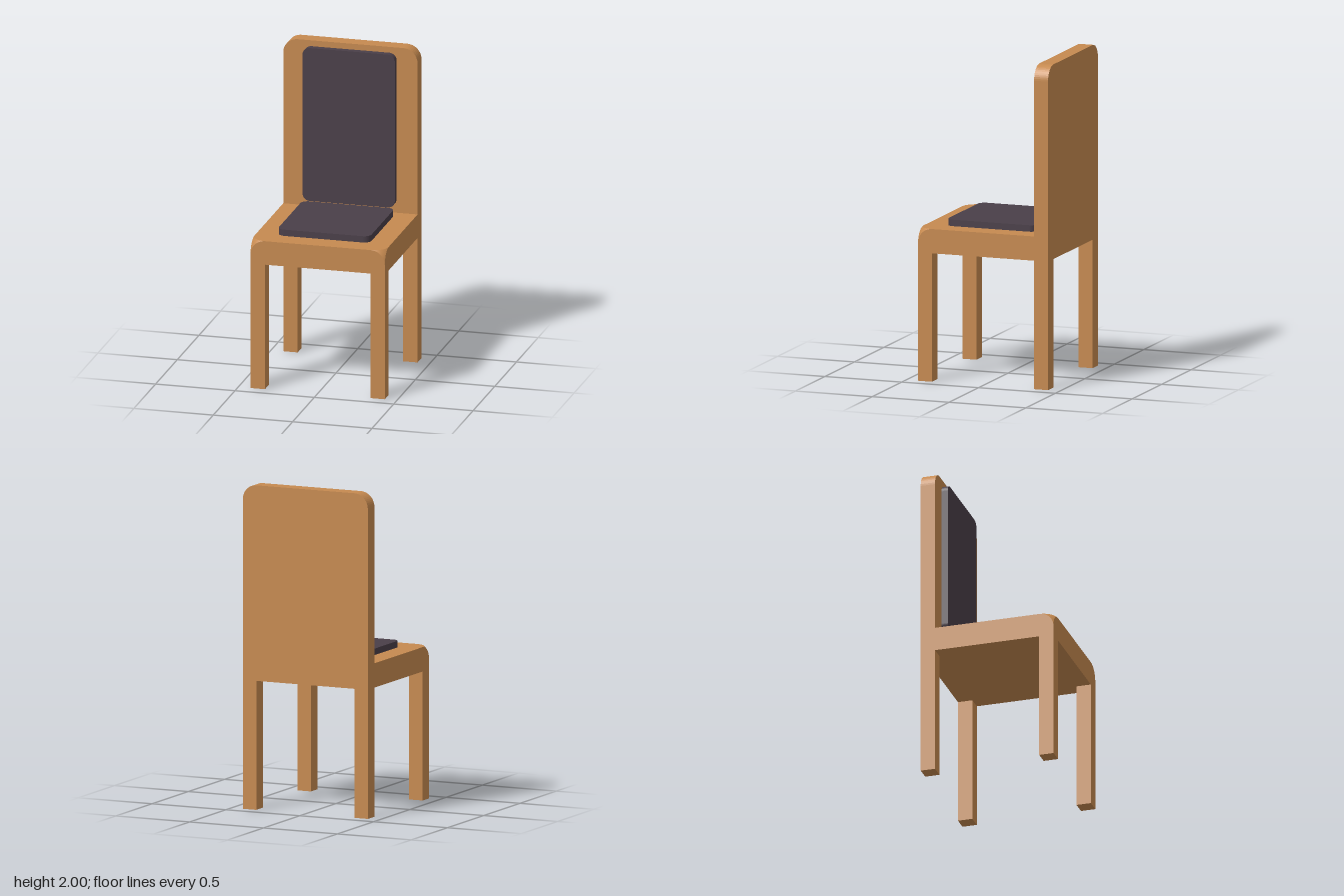
import * as THREE from 'three';
import { mergeGeometries } from 'three/addons/utils/BufferGeometryUtils.js';
import { ParametricGeometry } from 'three/addons/geometries/ParametricGeometry.js';

const HALF = 0.423;            // half width and depth of the chair
const INNER = 0.332;           // inner side of legs and front of the backrest
const R = HALF - INNER;        // leg thickness and large corner radius
const SEAT_Y = 0.795, SEAT_TOP = 0.945;
const SEG = 6;

// Rectangle with its own radius per corner: bottom left, bottom right, top right, top left
function roundedRect(x0, y0, x1, y1, [bl, br, tr, tl]) {
  const s = new THREE.Shape();
  const q = Math.PI / 2;
  const corner = (x, y, r, start) => r ? s.absarc(x, y, r, start, start + q, false) : s.lineTo(x, y);
  s.moveTo(x0 + bl, y0);
  corner(x1 - br, y0 + br, br, -q);
  corner(x1 - tr, y1 - tr, tr, 0);
  corner(x0 + tl, y1 - tl, tl, q);
  corner(x0 + bl, y0 + bl, bl, 2 * q);
  return s;
}

const face = (shape) => new THREE.ShapeGeometry(shape, SEG);
const slab = (shape, depth) =>
  new THREE.ExtrudeGeometry(shape, { depth, bevelEnabled: false, curveSegments: SEG });

// Spherical patch that joins the three rounded faces at a front seat corner
function cornerPatch(side) {
  const g = new ParametricGeometry((u, v, p) => {
    const c = Math.cos(v * Math.PI / 2);
    const a0 = Math.atan2(c, 1);
    const a = THREE.MathUtils.lerp(a0, Math.PI / 2 - a0, side > 0 ? u : 1 - u);
    const radius = R * Math.sqrt(1 + c * c);
    p.set(side * (INNER + radius * Math.sin(a)),
      SEAT_TOP - R + R * Math.sin(v * Math.PI / 2),
      INNER + radius * Math.cos(a));
  }, SEG, SEG);
  g.computeVertexNormals();
  return g;
}

function seatGeometry() {
  const q = Math.PI / 2;
  const top = face(roundedRect(-HALF, -HALF, HALF, INNER, [R, R, 0, 0]))
    .rotateX(-q).translate(0, SEAT_TOP, 0);
  const bottom = face(roundedRect(-HALF, -INNER, HALF, HALF, [0, 0, 0, 0]))
    .rotateX(q).translate(0, SEAT_Y, 0);
  const front = face(roundedRect(-HALF, SEAT_Y, HALF, SEAT_TOP, [0, 0, R, R]))
    .translate(0, 0, HALF);
  const left = face(roundedRect(-HALF, SEAT_Y, INNER, SEAT_TOP, [0, 0, 0, R]))
    .rotateY(q).translate(HALF, 0, 0);
  const right = face(roundedRect(-INNER, SEAT_Y, HALF, SEAT_TOP, [0, 0, R, 0]))
    .rotateY(-q).translate(-HALF, 0, 0);
  return mergeGeometries([top, bottom, front, left, right, cornerPatch(1), cornerPatch(-1)]);
}

export function createModel() {
  const chair = new THREE.Group();
  chair.name = 'chair';
  const wood = new THREE.MeshStandardMaterial({ color: 0xc68a50 });
  const fabric = new THREE.MeshStandardMaterial({ color: 0x4a3f49 });
  const add = (name, geometry, material) => {
    const mesh = new THREE.Mesh(geometry, material);
    mesh.name = name;
    chair.add(mesh);
    return mesh;
  };

  add('seat', seatGeometry(), wood);

  // Backrest board
  add('backrest', slab(roundedRect(-HALF, SEAT_Y, HALF, 2, [0, 0, R, R]), R), wood)
    .position.z = -HALF;

  // Four square legs
  for (const x of [1, -1]) {
    for (const z of [1, -1]) {
      const name = (z > 0 ? 'front' : 'back') + (x > 0 ? 'Left' : 'Right') + 'Leg';
      add(name, new THREE.BoxGeometry(R, SEAT_Y, R), wood)
        .position.set(x * (HALF - R / 2), SEAT_Y / 2, z * (HALF - R / 2));
    }
  }

  // Thin cushions with rounded corners
  const c = 0.291, cr = 0.045, radii = [cr, cr, cr, cr], thick = 0.04;
  add('seatCushion', slab(roundedRect(-c, -c, c, c, radii), thick).rotateX(-Math.PI / 2), fabric)
    .position.y = SEAT_TOP;
  add('backCushion', slab(roundedRect(-c, 0.987, c, 1.963, radii), thick), fabric)
    .position.z = -INNER;

  return chair;
}
